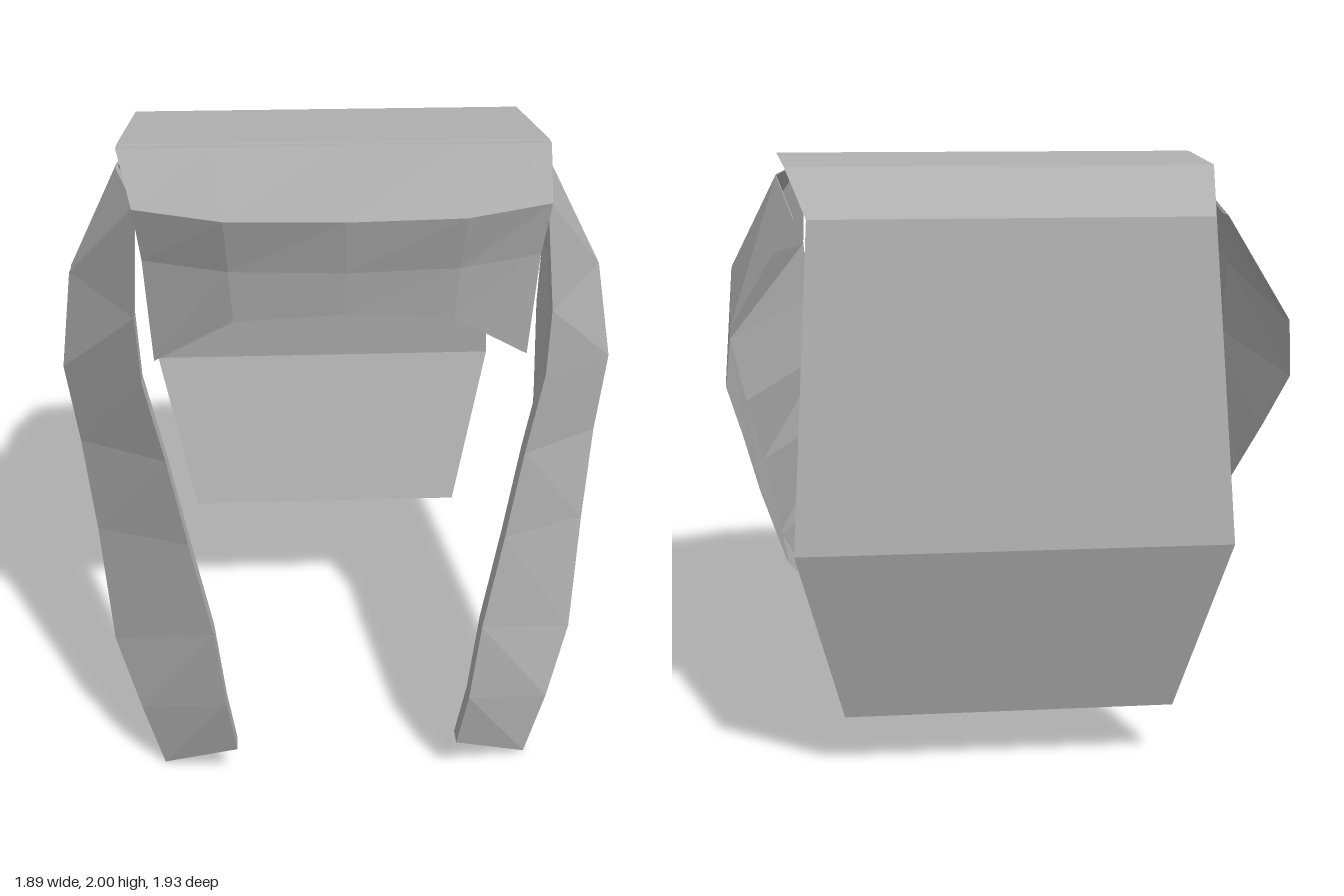
import * as THREE from 'three';

const grey = new THREE.MeshStandardMaterial({ color: 0xb0b0b0, side: THREE.DoubleSide });
grey.name = 'plain grey';

// Folded plate: a grid of points plus its copy moved along z, closed by rims
function foldedPlate(rows, dz) {
  const pos = [];
  const n = rows.length, m = rows[0].length;
  const front = (i, j) => rows[i][j];
  const back = (i, j) => [rows[i][j][0], rows[i][j][1], rows[i][j][2] + dz];
  const quad = (a, b, c, d) => pos.push(...a, ...b, ...c, ...a, ...c, ...d);
  for (let i = 0; i < n - 1; i++) {
    for (let j = 0; j < m - 1; j++) {
      quad(front(i, j), front(i, j + 1), front(i + 1, j + 1), front(i + 1, j));
      quad(back(i, j), back(i + 1, j), back(i + 1, j + 1), back(i, j + 1));
    }
    for (const j of [0, m - 1]) quad(front(i, j), front(i + 1, j), back(i + 1, j), back(i, j));
  }
  for (let j = 0; j < m - 1; j++) {
    for (const i of [0, n - 1]) quad(front(i, j), front(i, j + 1), back(i, j + 1), back(i, j));
  }
  const g = new THREE.BufferGeometry();
  g.setAttribute('position', new THREE.Float32BufferAttribute(pos, 3));
  g.computeVertexNormals();
  return g;
}

function add(group, name, geometry) {
  const mesh = new THREE.Mesh(geometry, grey);
  mesh.name = name;
  group.add(mesh);
}

// Shell rows: half width, then [y, z] at the centre, quarter and edge
const brow = [
  [0.62, [1.62, 0.67], [1.59, 0.64], [1.40, 0.50]],
  [0.64, [1.77, 0.70], [1.77, 0.67], [1.77, 0.55]],
  [0.66, [1.955, 0.757], [1.955, 0.735], [1.955, 0.60]],
];
const level = (w, y, z) => [w, [y, z], [y, z], [y, z]];
const roof = [brow[2], level(0.745, 2.0, 0.075), level(0.71, 1.98, -0.435), level(0.64, 1.838, -0.775)];
const rear = [roof[3], level(0.70, 0.805, -0.905), level(0.55, 0.195, -0.725)];

const shellRows = (sections) => sections.map(([w, c, q, e]) => [
  [-w, ...e], [-w * 0.57, ...q], [0, ...c], [w * 0.57, ...q], [w, ...e],
]);

// Cheek rows: inner front edge, outer ridge, rear edge
const cheek = [
  [[0.655, 1.95, 0.545], [0.75, 1.925, 0.05], [0.68, 1.84, -0.76]],
  [[0.665, 1.62, 0.67], [0.92, 1.59, 0.155], [0.88, 1.51, -0.79]],
  [[0.65, 1.41, 0.70], [0.945, 1.30, 0.30], [0.90, 1.325, -0.755]],
  [[0.58, 1.17, 0.785], [0.895, 1.05, 0.37], [0.86, 1.13, -0.595]],
  [[0.515, 0.91, 0.87], [0.84, 0.785, 0.52], [0.82, 0.875, -0.335]],
  [[0.44, 0.62, 0.955], [0.79, 0.43, 0.665], [0.745, 0.49, 0.095]],
  [[0.405, 0.35, 0.967], [0.70, 0.225, 0.79], [0.655, 0.285, 0.41]],
  [[0.375, 0.13, 0.915], [0.63, 0.0, 0.80], [0.59, 0.125, 0.515]],
];

export function createModel() {
  const model = new THREE.Group();
  model.name = 'headpiece';
  add(model, 'browPlate', foldedPlate(shellRows(brow), -0.055));
  add(model, 'roofPlate', foldedPlate(shellRows(roof), -0.055));
  add(model, 'rearPlate', foldedPlate(shellRows(rear), -0.055));
  // Mirrored side plates
  for (const [name, s] of [['leftCheekPlate', 1], ['rightCheekPlate', -1]]) {
    const rows = cheek.map((row) => row.map(([x, y, z]) => [s * x, y, z]));
    add(model, name, foldedPlate(rows, -0.065));
  }
  return model;
}
